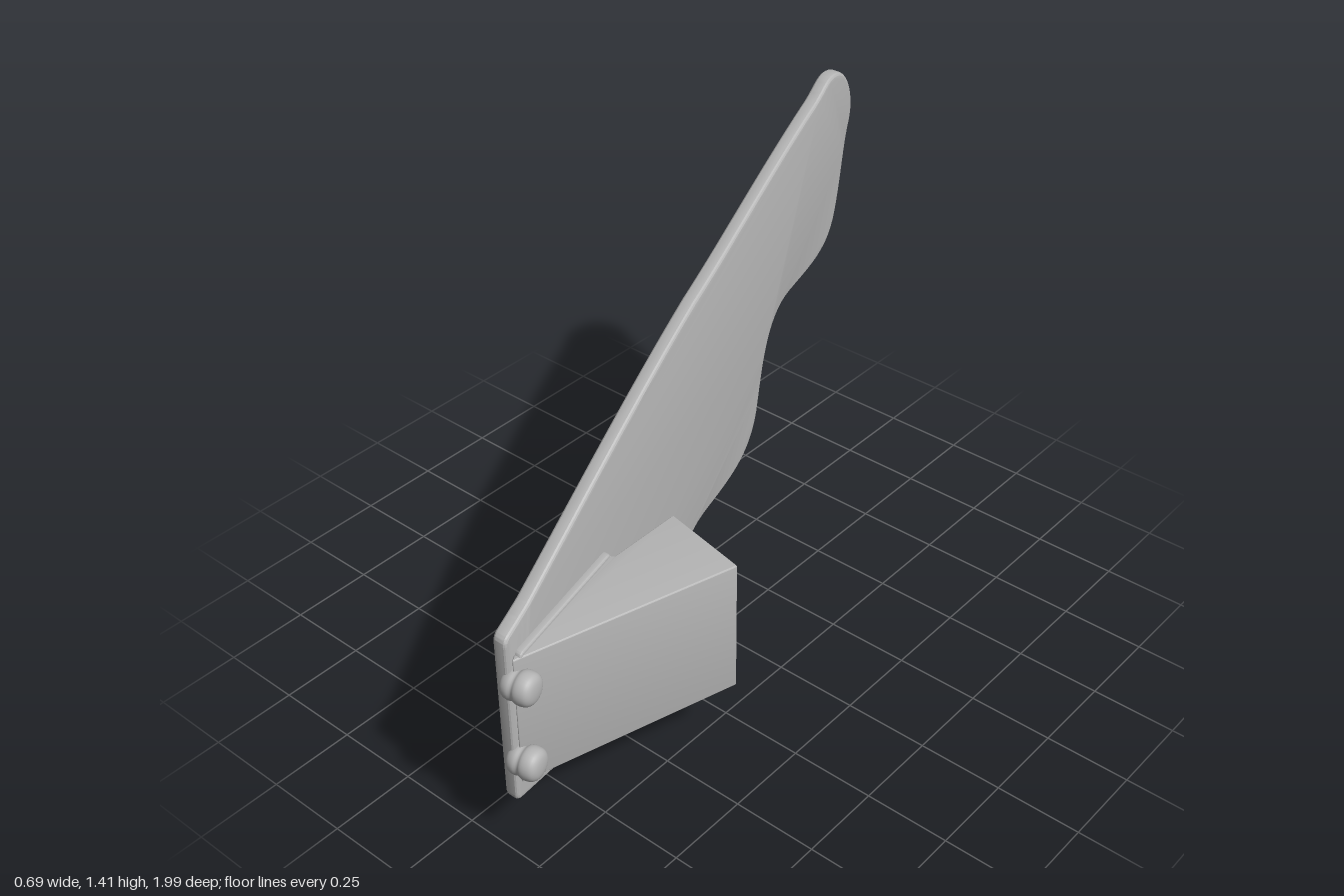
import * as THREE from 'three';
import { toCreasedNormals } from 'three/addons/utils/BufferGeometryUtils.js';

const SLOPE = 0.235; // sideways lean of the wing per unit of z
const grey = new THREE.MeshStandardMaterial({ color: 0xb4b4b4 });
grey.name = 'grey';

function bevelled(shape, depth, bevel) {
  const g = new THREE.ExtrudeGeometry(shape, {
    depth: depth - 2 * bevel, bevelEnabled: true, bevelThickness: bevel,
    bevelSize: bevel, bevelOffset: -bevel, bevelSegments: 4, curveSegments: 16,
  });
  g.translate(0, 0, bevel);
  return g;
}

// Upright plate drawn in (-z, y), from x0 at z = 0.975, leaning with the wing
function leaningPlate(shape, x0, thickness, bevel) {
  const g = bevelled(shape, thickness, bevel);
  g.rotateY(Math.PI / 2);
  const p = g.attributes.position;
  for (let i = 0; i < p.count; i++) p.setX(i, p.getX(i) + x0 - SLOPE * (0.975 - p.getZ(i)));
  return toCreasedNormals(g, 0.35);
}

// Polygon with rounded corners
function roundedPolygon(points, r) {
  const s = new THREE.Shape();
  const v = points.map(([x, y]) => new THREE.Vector2(x, y));
  v.forEach((c, i) => {
    const toward = (o) => c.clone().add(o.clone().sub(c).setLength(r));
    const a = toward(v[(i + v.length - 1) % v.length]);
    const b = toward(v[(i + 1) % v.length]);
    if (i === 0) s.moveTo(a.x, a.y); else s.lineTo(a.x, a.y);
    s.quadraticCurveTo(c.x, c.y, b.x, b.y);
  });
  s.closePath();
  return s;
}

function wingShape() {
  const s = new THREE.Shape();
  s.moveTo(-0.975, 0.18);
  s.quadraticCurveTo(-0.975, 0.16, -0.955, 0.155);
  s.lineTo(-0.33, 0.012);
  // scalloped trailing edge
  s.bezierCurveTo(-0.24, -0.01, -0.155, 0.05, -0.14, 0.14);
  s.bezierCurveTo(-0.115, 0.29, -0.07, 0.37, 0.06, 0.378);
  s.bezierCurveTo(0.2, 0.388, 0.34, 0.39, 0.385, 0.53);
  s.bezierCurveTo(0.42, 0.66, 0.44, 0.82, 0.59, 0.828);
  s.bezierCurveTo(0.74, 0.837, 0.86, 0.83, 0.905, 0.945);
  s.bezierCurveTo(0.945, 1.05, 0.95, 1.15, 0.985, 1.215);
  // rounded tip
  s.bezierCurveTo(1.02, 1.29, 0.96, 1.415, 0.85, 1.415);
  s.bezierCurveTo(0.81, 1.415, 0.78, 1.385, 0.72, 1.37);
  // leading edge
  s.bezierCurveTo(0.45, 1.29, 0.2, 1.18, 0, 1.12);
  s.bezierCurveTo(-0.3, 1.01, -0.6, 0.86, -0.86, 0.74);
  s.quadraticCurveTo(-0.9, 0.725, -0.955, 0.708);
  s.quadraticCurveTo(-0.975, 0.7, -0.975, 0.68);
  s.closePath();
  return s;
}

export function createModel() {
  const model = new THREE.Group();
  const add = (name, geometry) => {
    const m = new THREE.Mesh(geometry, grey);
    m.name = name;
    model.add(m);
    return m;
  };

  add('wing', leaningPlate(wingShape(), 0.112, 0.048, 0.014));

  // mounting plate between wing and block
  const rect = [[-0.94, 0.212], [-0.5, 0.212], [-0.5, 0.645], [-0.94, 0.645]];
  add('mountingPlate', leaningPlate(roundedPolygon(rect, 0.02), 0.15, 0.03, 0.008));

  // wedge block, drawn in (x, -z)
  const plan = [[0.163, -0.96], [0.347, -0.32], [0.075, -0.265], [0.075, -0.5], [0.05, -0.5], [0.148, -0.94]];
  const wedge = bevelled(roundedPolygon(plan, 0.008), 0.415, 0.006);
  wedge.rotateX(-Math.PI / 2).translate(0, 0.22, 0);
  add('wedgeBlock', toCreasedNormals(wedge, 0.35));

  // rounded hinge knobs with a slight waist
  const profile = [[0, -0.047], [0.026, -0.046], [0.038, -0.036], [0.043, -0.02], [0.041, -0.006],
    [0.046, 0.004], [0.047, 0.018], [0.043, 0.034], [0.032, 0.044], [0.016, 0.048], [0, 0.049]];
  const curve = new THREE.SplineCurve(profile.map(([r, y]) => new THREE.Vector2(r, y)));
  const points = curve.getPoints(30);
  points.forEach((p) => { p.x = Math.max(0, p.x); });
  const knob = new THREE.LatheGeometry(points, 32);
  knob.rotateZ(-Math.PI / 2).rotateY(Math.atan(SLOPE));
  for (const [name, y] of [['upperKnob', 0.557], ['lowerKnob', 0.302]]) {
    add(name, knob).position.set(0.178, y, 0.951);
  }
  return model;
}
